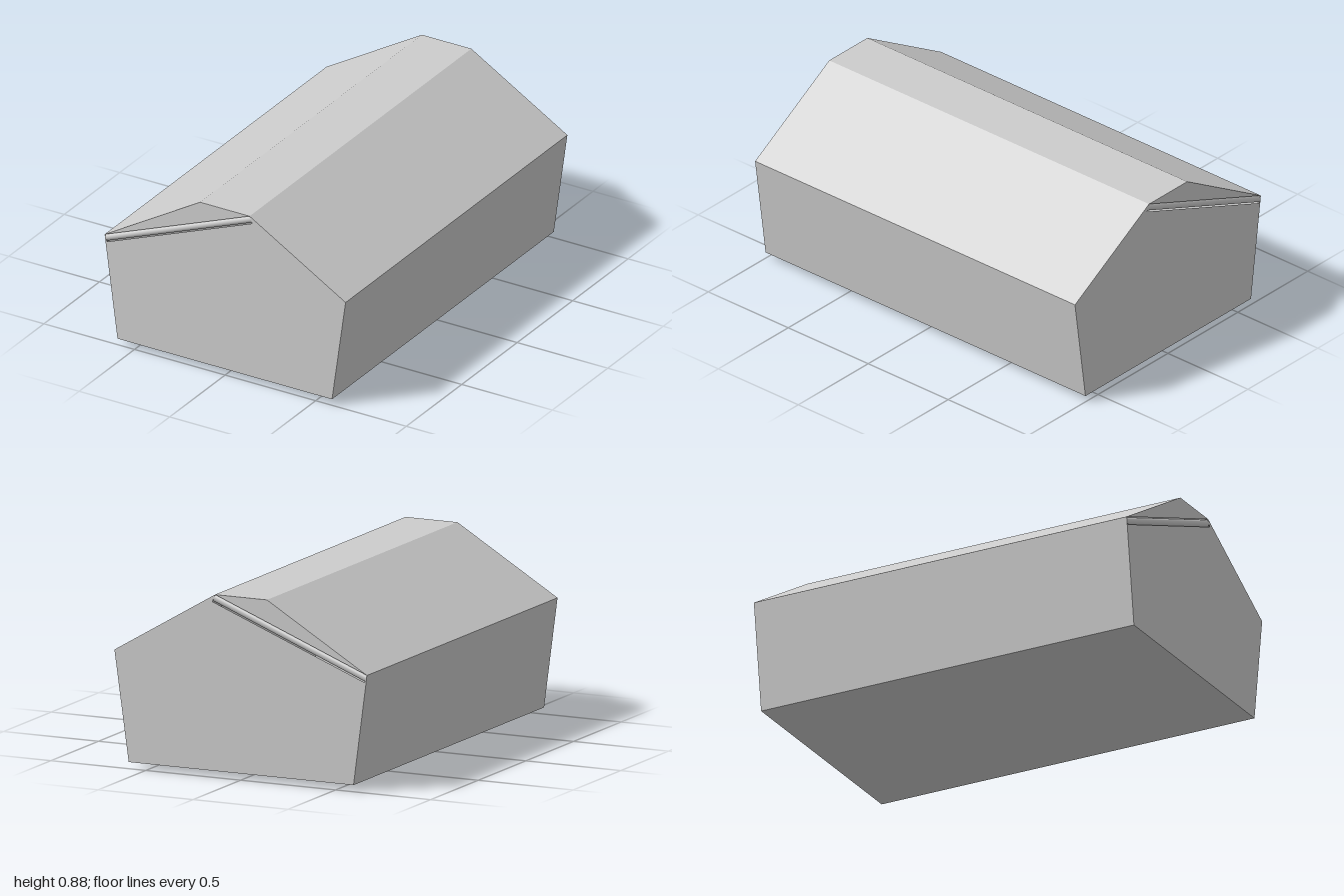
import * as THREE from 'three';

const grey = new THREE.MeshStandardMaterial({ color: 0xcccccc, side: THREE.DoubleSide });
grey.name = 'light grey';

// Gabled cross-section, counter-clockwise seen from the front
const section = [
  [-0.594, 0.032], [0.59, 0.032], [0.665, 0.566], [0.135, 0.88], [-0.138, 0.88], [-0.665, 0.566],
];
const [bottomRight, bottomLeft, eaveLeft, ridgeLeft, ridgeRight, eaveRight] = section;

function facets(name, triangles) {
  const geometry = new THREE.BufferGeometry();
  geometry.setAttribute('position', new THREE.Float32BufferAttribute(triangles.flat(2), 3));
  geometry.computeVertexNormals();
  const mesh = new THREE.Mesh(geometry, grey);
  mesh.name = name;
  return mesh;
}

export function createModel() {
  const model = new THREE.Group();
  model.name = 'gabledBlock';

  // Long walls and roof slopes
  const sides = [];
  for (let i = 1; i < section.length; i++) {
    const a = section[i], b = section[(i + 1) % section.length];
    sides.push([[...a, 1], [...a, -1], [...b, -1]], [[...a, 1], [...b, -1], [...b, 1]]);
  }
  model.add(facets('wallsAndRoof', sides));

  // Underside bulging slightly down to its middle
  const corners = [[...bottomRight, 1], [...bottomRight, -1], [...bottomLeft, -1], [...bottomLeft, 1]];
  model.add(facets('underside', corners.map((c, i) => [c, corners[(i + 1) % 4], [0.03, 0, 0]])));

  // Slot running from the right eave to the ridge, filled by a flush rod
  const start = new THREE.Vector2(...eaveRight), end = new THREE.Vector2(...ridgeLeft);
  const along = end.clone().sub(start);
  const length = along.length(), angle = along.angle(), radius = 0.019;
  const down = new THREE.Vector2(Math.sin(angle), -Math.cos(angle));
  const below = (p, d) => p.clone().addScaledVector(down, d);
  const points = (list) => list.map((p) => new THREE.Vector2(...p));

  const lower = new THREE.Shape([
    ...points([bottomRight, bottomLeft, eaveLeft, ridgeLeft]),
    below(end, radius * 2), below(start, radius * 2), start,
  ]);
  const upper = new THREE.Shape(points([eaveRight, ridgeLeft, ridgeRight]));
  const middle = below(start.clone().lerp(end, 0.5), radius);

  for (const side of [1, -1]) {
    const gable = new THREE.Group();
    gable.name = side > 0 ? 'frontGable' : 'backGable';
    for (const [name, shape] of [['endWall', lower], ['gablePeak', upper]]) {
      const geometry = new THREE.ShapeGeometry(shape);
      if (side < 0) {
        // Reverse the faces so the back wall looks outward
        geometry.setIndex([...geometry.index.array].reverse());
        geometry.computeVertexNormals();
      }
      const panel = new THREE.Mesh(geometry, grey);
      panel.name = name;
      panel.position.z = side;
      gable.add(panel);
    }
    const rod = new THREE.Mesh(new THREE.CylinderGeometry(radius, radius, length, 32), grey);
    rod.name = 'gableRod';
    rod.position.set(middle.x, middle.y, side * (1 - radius));
    rod.rotation.z = angle - Math.PI / 2;
    gable.add(rod);
    model.add(gable);
  }
  return model;
}
